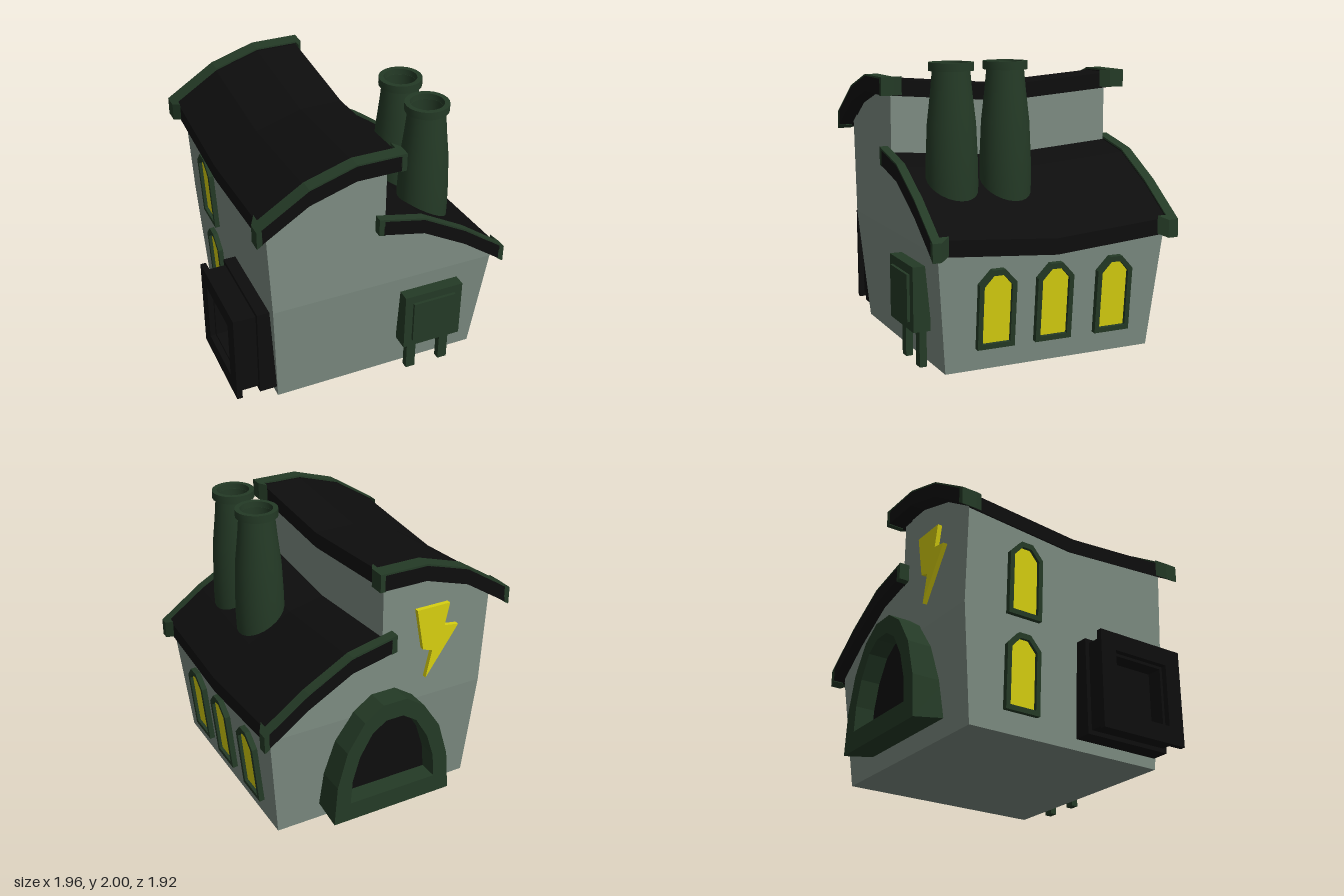
import * as THREE from 'three';
import { toCreasedNormals } from 'three/addons/utils/BufferGeometryUtils.js';

const material = (color) => new THREE.MeshStandardMaterial({ color });
const wallMat = material(0x7d8c82);
const greenMat = material(0x243a26);
const blackMat = material(0x0d0d0d);
const yellowMat = material(0xd8d010);

const FRONT = 0.865, BACK = -0.805, MID = 0.03, EAVE = 0.82;

function add(parent, name, geometry, mat) {
  const mesh = new THREE.Mesh(geometry, mat);
  mesh.name = name;
  parent.add(mesh);
  return mesh;
}

function box(parent, name, mat, x0, x1, y0, y1, z0, z1) {
  const mesh = add(parent, name, new THREE.BoxGeometry(x1 - x0, y1 - y0, z1 - z0), mat);
  mesh.position.set((x0 + x1) / 2, (y0 + y1) / 2, (z0 + z1) / 2);
  return mesh;
}

// Extrudes an outline (with an optional hole) from z0 to z1
function prism(points, z0, z1, hole, steps = 1) {
  const vectors = (list) => list.map(([x, y]) => new THREE.Vector2(x, y));
  const shape = new THREE.Shape(vectors(points));
  if (hole) shape.holes.push(new THREE.Path(vectors(hole)));
  const geometry = new THREE.ExtrudeGeometry(shape, { depth: z1 - z0, steps, bevelEnabled: false });
  return geometry.translate(0, 0, z0);
}

// Moves every vertex by a rule, then refreshes the normals
function reshape(geometry, rule) {
  const p = geometry.attributes.position;
  const v = new THREE.Vector3();
  for (let i = 0; i < p.count; i++) {
    rule(v.fromBufferAttribute(p, i));
    p.setXYZ(i, v.x, v.y, v.z);
  }
  geometry.computeVertexNormals();
  return geometry;
}

// Height of a roof line at x
function heightAt(line, x) {
  let i = 1;
  while (i < line.length - 1 && x > line[i][0]) i++;
  const [x0, y0] = line[i - 1], [x1, y1] = line[i];
  return y0 + (y1 - y0) * (x - x0) / (x1 - x0);
}

// Band that follows a roof line between xa and xb, from 'top' to 'bottom' below it
function band(line, xa, xb, top, bottom) {
  const xs = [xa, ...line.map((p) => p[0]).filter((x) => x > xa && x < xb), xb];
  const upper = xs.map((x) => [x, heightAt(line, x) - top]);
  const lower = xs.map((x) => [x, heightAt(line, x) - bottom]);
  return [...lower, ...upper.reverse()];
}

function buildRoof(name, line, slabEnd, slabStart, frontZ, backZ) {
  const roof = new THREE.Group();
  roof.name = name;
  // Slab sags toward the middle of its length
  const slab = prism(band(line, slabStart, slabEnd, 0.02, 0.13), BACK, FRONT, null, 2);
  reshape(slab, (v) => { v.y -= 0.065 * (1 - Math.abs(v.z - MID) / (FRONT - MID)); });
  add(roof, 'roofSlab', slab, blackMat);

  const first = line[0][0], last = line[line.length - 1][0];
  for (const [inner, outer] of [[FRONT, frontZ], [BACK, backZ]]) {
    const z0 = Math.min(inner, outer), z1 = Math.max(inner, outer);
    add(roof, 'gableBoard', prism(band(line, first + 0.035, last - 0.035, 0.012, 0.12), z0, z1), blackMat);
    add(roof, 'gableTrim', prism(band(line, first + 0.035, last - 0.035, 0, 0.014), z0, z1), greenMat);
    // Mitred end caps
    for (const [x, dir] of [[first, 1], [last, -1]]) {
      const back = inner - Math.sign(inner) * 0.065;
      const plan = [[x, outer], [x, inner], [x + dir * 0.04, back], [x + dir * 0.04, outer]];
      const cap = prism(plan.map(([px, pz]) => [px, -pz]), 0, 0.125);
      cap.rotateX(-Math.PI / 2);
      reshape(cap, (v) => { v.y += heightAt(line, v.x) - 0.125; });
      add(roof, 'trimEndCap', cap, greenMat);
    }
  }
  return roof;
}

// Window with clipped top corners, facing local +z, centred on its middle
function buildWindow(name) {
  const win = new THREE.Group();
  win.name = name;
  const outline = (w, b, t, shoulder, c) =>
    [[-w, b], [w, b], [w, shoulder], [c, t], [-c, t], [-w, shoulder]];
  const outer = outline(0.133, -0.27, 0.27, 0.175, 0.045);
  const inner = outline(0.1, -0.235, 0.232, 0.16, 0.035);
  add(win, 'windowFrame', prism(outer, -0.03, 0.035, inner), greenMat);
  add(win, 'windowGlass', prism(inner, -0.03, 0.012), yellowMat);
  return win;
}

function buildChimney(z) {
  const chimney = new THREE.Group();
  chimney.name = 'chimney';
  const lathe = (pts) => toCreasedNormals(
    new THREE.LatheGeometry(pts.map(([r, y]) => new THREE.Vector2(r, y)), 24), 0.6);
  add(chimney, 'chimneyStack', lathe([[0.17, 1], [0.176, 1.2], [0.174, 1.35], [0.163, 1.6],
    [0.14, 1.8], [0.125, 1.96], [0.11, 1.96], [0.11, 1.75], [0, 1.75]]), greenMat);
  add(chimney, 'chimneyRim', lathe([[0.11, 1.945], [0.15, 1.945], [0.15, 2], [0.115, 2], [0.11, 1.945]]), greenMat);
  chimney.position.set(0.49, 0, z);
  return chimney;
}

export function createModel() {
  const model = new THREE.Group();
  model.name = 'powerHouse';

  // Roof lines, seen from the front
  const highLine = [[-0.85, 1.565], [-0.5, 1.79], [-0.18, 1.89], [0.165, 1.89]];
  const lowLine = [[0.005, 1.405], [0.34, 1.33], [0.66, 1.15], [0.98, 0.92]];

  // Walls: lower storey narrows toward the ground
  const base = prism([[-0.68, 0.01], [0.835, 0.01], [0.91, EAVE], [-0.725, EAVE]], BACK, FRONT);
  reshape(base, (v) => { v.z -= Math.sign(v.z) * 0.075 * (EAVE - v.y) / (EAVE - 0.01); });
  add(model, 'lowerWalls', base, wallMat);
  add(model, 'upperWalls', prism([[-0.725, EAVE], [0.91, EAVE], [0.912, 0.868], [0.66, 1.05],
    [0.34, 1.23], [0.075, 1.29], [0.075, 1.79], [-0.18, 1.79], [-0.5, 1.69], [-0.762, 1.515]],
  BACK, FRONT), wallMat);

  model.add(buildRoof('towerRoof', highLine, 0.125, -0.81, 0.96, -0.915));
  model.add(buildRoof('lowerRoof', lowLine, 0.94, 0.05, 0.925, -0.88));
  for (const z of [0.2, 0.59]) model.add(buildChimney(z));

  // Windows lean with the walls: three on the +x side, two stacked on the -x side
  const placeWindow = (name, x, y, z, turn, tilt) => {
    const win = buildWindow(name);
    win.rotation.set(tilt, turn, 0, 'YXZ');
    win.position.set(x, y, z);
    model.add(win);
  };
  for (const z of [0.45, 0.03, -0.42]) placeWindow('leftWindow', 0.878, 0.43, z, Math.PI / 2, 0.093);
  for (const y of [0.43, 1.09]) placeWindow('rightWindow', -0.68 - 0.0545 * y, y, -0.35, -Math.PI / 2, 0.055);

  // Square vent on the -x side, stepped and hollow
  const vent = new THREE.Group();
  vent.name = 'sideVent';
  const square = (h) => [[-h, -h], [h, -h], [h, h], [-h, h]];
  for (const [name, half, hole, z0, z1] of [['ventBase', 0.34, 0.2, 0.66, 0.81],
    ['ventSleeve', 0.31, 0.2, 0.81, 0.94], ['ventFlange', 0.345, 0.22, 0.94, 0.98]]) {
    add(vent, name, prism(square(half), z0, z1, square(hole)), blackMat);
  }
  add(vent, 'ventBack', prism(square(0.21), 0.7, 0.83), blackMat);
  vent.rotation.y = -Math.PI / 2;
  vent.position.set(0, 0.428, 0.445);
  model.add(vent);

  // Arched opening on the back wall
  const arch = (half) => [...half, ...half.map(([x, y]) => [-x, y]).reverse()]
    .map(([x, y]) => [x + 0.06, y]);
  const outer = arch([[0.46, 0.1], [0.435, 0.4], [0.36, 0.66], [0.23, 0.86], [0.09, 0.955]]);
  const inner = arch([[0.335, 0.24], [0.32, 0.42], [0.265, 0.6], [0.17, 0.76], [0.065, 0.83]]);
  const doorway = new THREE.Group();
  doorway.name = 'backArch';
  const frame = prism(outer, -0.965, -0.72, inner);
  reshape(frame, (v) => { if (v.z > -0.8 && v.y < 0.2) v.y += 0.04; });
  add(doorway, 'archFrame', frame, greenMat);
  add(doorway, 'archInterior', prism(inner, -0.825, -0.75), blackMat);
  model.add(doorway);

  // Lightning bolt on the back wall
  add(model, 'lightningBolt', prism([[-0.17, 1.52], [-0.425, 1.52], [-0.39, 1.357], [-0.5, 1.34],
    [-0.255, 0.985], [-0.3, 1.19], [-0.226, 1.213]], -0.838, -0.79), yellowMat);

  // Notice board in front
  const board = new THREE.Group();
  board.name = 'noticeBoard';
  box(board, 'boardPanel', greenMat, 0.22, 0.66, 0.26, 0.7, 0.82, 0.94);
  box(board, 'boardFace', greenMat, 0.28, 0.6, 0.32, 0.64, 0.93, 0.96);
  for (const x of [0.28, 0.54]) box(board, 'boardLeg', greenMat, x, x + 0.07, 0, 0.27, 0.83, 0.88);
  model.add(board);

  return model;
}
